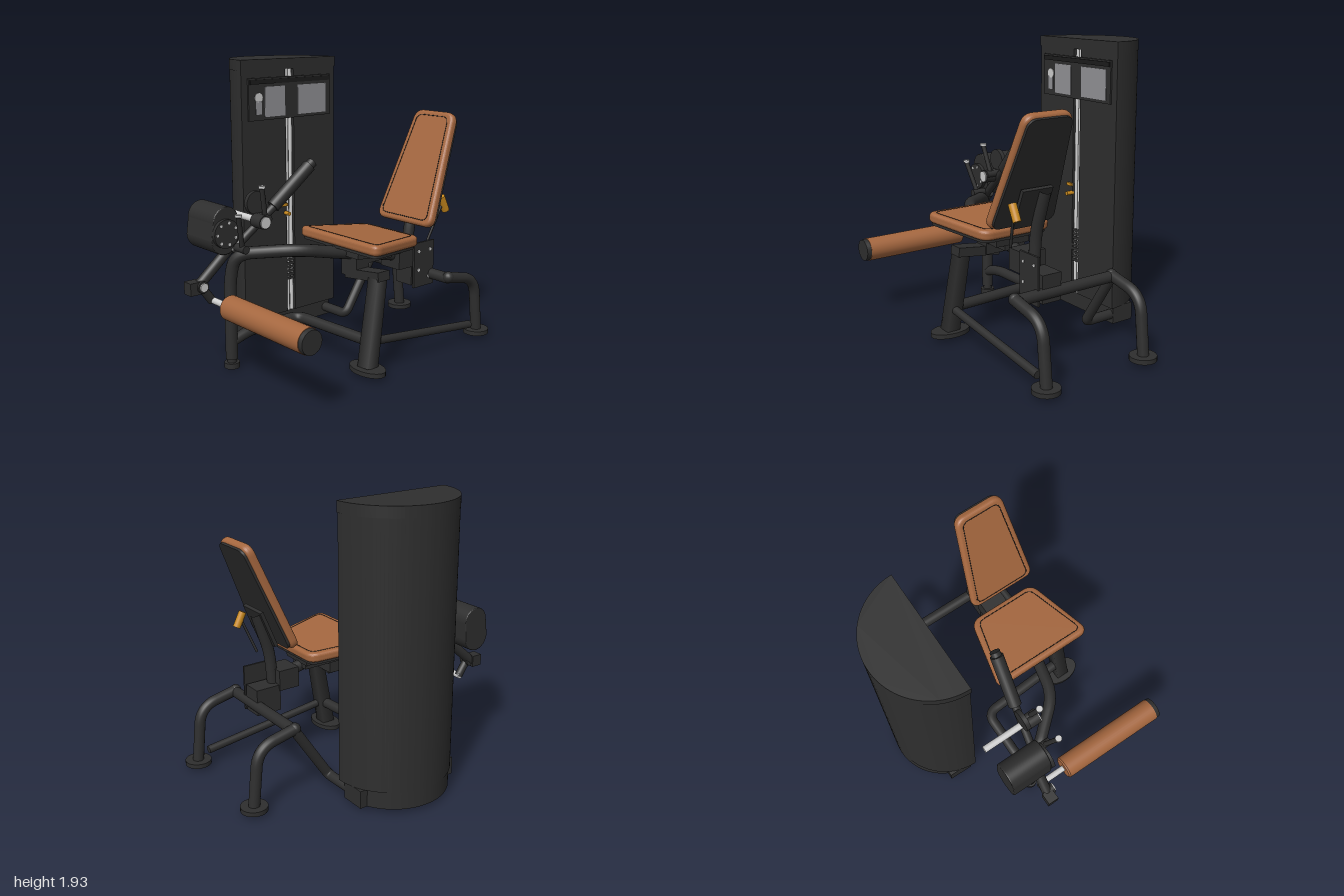
import * as THREE from 'three';

const mat = (name, color) => {
  const m = new THREE.MeshStandardMaterial({ color });
  m.name = name;
  return m;
};
const V = (p) => new THREE.Vector3(...p);

export function createModel() {
  const root = new THREE.Group();
  root.name = 'legExtensionMachine';
  const black = mat('black frame', 0x2e2e2e);
  const tan = mat('tan upholstery', 0xa5673f);
  const silver = mat('bright steel', 0xcfcfcf);
  const grey = mat('grey placard', 0x929296);
  const amber = mat('amber handle', 0xc98a1e);
  const dark = mat('dark trim', 0x1c1c1c);

  const add = (name, geo, m, parent = root) => {
    const mesh = new THREE.Mesh(geo, m);
    mesh.name = name;
    parent.add(mesh);
    return mesh;
  };
  // box from its min and max corners
  const box = (name, a, b, m = black) => {
    const mesh = add(name, new THREE.BoxGeometry(b[0] - a[0], b[1] - a[1], b[2] - a[2]), m);
    mesh.position.set((a[0] + b[0]) / 2, (a[1] + b[1]) / 2, (a[2] + b[2]) / 2);
    return mesh;
  };
  // straight capped cylinder between two points
  const rod = (name, a, b, r, m = black, r2 = r, sides = 24) => {
    const d = V(b).sub(V(a));
    const mesh = add(name, new THREE.CylinderGeometry(r2, r, d.length(), sides), m);
    mesh.position.copy(V(a)).addScaledVector(d, 0.5);
    mesh.quaternion.setFromUnitVectors(new THREE.Vector3(0, 1, 0), d.normalize());
    return mesh;
  };
  // bent pipe: straight runs joined by rounded corners
  const pipe = (name, pts, r = 0.036, bend = 0.08) => {
    const p = pts.map(V), path = new THREE.CurvePath();
    let from = p[0];
    for (let i = 1; i < p.length - 1; i++) {
      const toward = (q) => p[i].clone().add(q.clone().sub(p[i]).setLength(Math.min(bend, q.distanceTo(p[i]) * 0.48)));
      const s = toward(p[i - 1]), e = toward(p[i + 1]);
      path.add(new THREE.LineCurve3(from, s));
      path.add(new THREE.QuadraticBezierCurve3(s, p[i], e));
      from = e;
    }
    path.add(new THREE.LineCurve3(from, p[p.length - 1]));
    return add(name, new THREE.TubeGeometry(path, 70, r, 16), black);
  };
  const extrude = (shape, depth, bevel = 0) => new THREE.ExtrudeGeometry(shape, {
    depth: depth - 2 * bevel, curveSegments: 28, bevelEnabled: bevel > 0,
    bevelSize: bevel, bevelThickness: bevel, bevelOffset: -bevel, bevelSegments: 5,
  });

  // tower: half-round shell with a front slot
  const halfRound = (cx, r, notch) => {
    const s = new THREE.Shape();
    s.moveTo(cx, r);
    s.absarc(cx, 0, r, Math.PI / 2, Math.PI * 1.5, false);
    if (notch) {
      s.lineTo(cx, -0.035); s.lineTo(cx - 0.07, -0.035);
      s.lineTo(cx - 0.07, 0.035); s.lineTo(cx, 0.035);
    }
    s.closePath();
    return s;
  };
  const slab = (name, shape, y0, y1) => {
    const mesh = add(name, extrude(shape, y1 - y0), black);
    mesh.rotation.x = -Math.PI / 2;
    mesh.position.y = y0;
  };
  slab('towerShell', halfRound(-0.41, 0.4, true), 0.15, 1.86);
  slab('towerCap', halfRound(-0.405, 0.405, false), 1.86, 1.93);
  slab('towerBase', halfRound(-0.44, 0.37, false), 0.03, 0.15);
  box('towerBaseBlock', [-0.61, 0.03, -0.38], [-0.44, 0.15, 0.38]);
  for (const z of [-0.017, 0.017]) rod('guideRod', [-0.43, 0.15, z], [-0.43, 1.86, z], 0.013, silver);
  for (let i = 0; i < 9; i++) box('weightPlate', [-0.475, 0.38 + i * 0.027, -0.034], [-0.413, 0.4 + i * 0.027, 0.034]);

  // instruction panel on the flat face
  box('panel', [-0.41, 1.53, -0.35], [-0.398, 1.81, 0.35]);
  box('panelRail', [-0.4, 1.77, -0.34], [-0.39, 1.8, 0.34], dark);
  box('placard', [-0.4, 1.55, 0.05], [-0.394, 1.75, 0.22], grey);
  box('placard', [-0.4, 1.55, -0.31], [-0.394, 1.75, -0.06], grey);
  rod('placardFigureHead', [-0.4, 1.68, 0.27], [-0.394, 1.68, 0.27], 0.032, silver);
  box('placardFigureBody', [-0.4, 1.57, 0.247], [-0.394, 1.66, 0.293], grey);
  rod('selectorPin', [-0.42, 0.87, 0.045], [-0.365, 0.87, 0.045], 0.014, amber);
  box('selectorTab', [-0.41, 0.92, 0.035], [-0.395, 0.94, 0.085], amber);

  // padded cushions: rounded trapezoid with stitching
  const outline = (wb, wt, h, rad) => {
    const c = [[-wb / 2, -h / 2], [wb / 2, -h / 2], [wt / 2, h / 2], [-wt / 2, h / 2]].map((q) => new THREE.Vector2(...q));
    const s = new THREE.Shape();
    c.forEach((q, i) => {
      const prev = c[(i + 3) % 4], next = c[(i + 1) % 4];
      const a = q.clone().add(prev.clone().sub(q).setLength(rad));
      const b = q.clone().add(next.clone().sub(q).setLength(rad));
      if (i) s.lineTo(a.x, a.y); else s.moveTo(a.x, a.y);
      s.quadraticCurveTo(q.x, q.y, b.x, b.y);
    });
    s.closePath();
    return s;
  };
  const cushion = (name, wb, wt, h, t, pos, tilt) => {
    const g = new THREE.Group();
    g.name = name;
    g.position.set(...pos);
    g.rotation.x = tilt;
    add(name + 'Pad', extrude(outline(wb, wt, h, 0.07), t, 0.022), tan, g).position.z = -t / 2 + 0.022;
    add(name + 'Shell', extrude(outline(wb - 0.03, wt - 0.03, h - 0.03, 0.06), 0.02), black, g).position.z = -t / 2 - 0.016;
    const line = outline(wb - 0.085, wt - 0.075, h - 0.075, 0.04).getSpacedPoints(60);
    const curve = new THREE.CatmullRomCurve3(line.map((q) => new THREE.Vector3(q.x, q.y, t / 2)), true);
    add(name + 'Stitching', new THREE.TubeGeometry(curve, 120, 0.0025, 5, true), dark, g);
    root.add(g);
  };
  cushion('seat', 0.74, 0.5, 0.51, 0.066, [0.29, 0.815, -0.05], -Math.PI / 2 - 0.08);
  cushion('backrest', 0.49, 0.34, 0.77, 0.06, [0.335, 1.228, -0.515], -0.393);

  // seat support and backrest bracket
  box('seatMount', [0.17, 0.71, -0.25], [0.42, 0.765, 0.13]).rotation.x = -0.08;
  box('seatSlide', [0.2, 0.66, -0.24], [0.35, 0.72, 0.04]);
  box('bracketBlock', [0.19, 0.56, -0.45], [0.36, 0.7, -0.3]);
  box('bracketPlate', [0.36, 0.41, -0.62], [0.375, 0.72, -0.43]);
  for (const [y, z] of [[0.66, -0.47], [0.66, -0.58], [0.53, -0.47], [0.47, -0.57]]) {
    rod('bracketBolt', [0.37, y, z], [0.38, y, z], 0.011, silver);
  }
  box('bracketNeck', [0.2, 0.42, -0.62], [0.34, 0.6, -0.44]);
  pipe('backrestSupport', [[0.28, 0.58, -0.45], [0.28, 0.82, -0.47], [0.28, 1.1, -0.56]], 0.038);
  const backPlate = box('backrestPlate', [0.22, 0.86, -0.5], [0.44, 1.13, -0.475]);
  backPlate.rotation.x = -0.393;
  backPlate.position.z = -0.5;
  rod('adjusterLever', [0.46, 0.76, -0.46], [0.5, 1.0, -0.55], 0.009);
  rod('adjusterGrip', [0.5, 0.95, -0.585], [0.5, 1.05, -0.535], 0.026, amber);

  // main frame
  pipe('mainTube', [[-0.14, 0.06, 0.71], [-0.14, 0.6, 0.71], [-0.1, 0.76, 0.69], [0.2, 0.8, 0.43], [0.28, 0.74, 0.12], [0.28, 0.64, -0.36]], 0.04, 0.11);
  pipe('lowerTube', [[-0.14, 0.17, 0.71], [-0.14, 0.215, 0.56], [-0.14, 0.215, 0.16], [0.52, 0.215, 0.12]]);
  rod('frontFoot', [-0.14, 0, 0.71], [-0.14, 0.036, 0.71], 0.05);
  rod('frontFootStem', [-0.14, 0.03, 0.71], [-0.14, 0.07, 0.71], 0.03);
  const post = rod('seatPost', [0.53, 0.05, 0.145], [0.5, 0.62, 0.035], 0.066, black, 0.06, 4);
  post.rotateY(Math.PI / 4);
  const arm = box('seatPostArm', [0.24, 0.58, -0.02], [0.55, 0.64, 0.08]);
  arm.rotation.z = 0.12;
  box('seatPostRiser', [0.21, 0.58, -0.03], [0.35, 0.72, 0.08]);
  const foot = rod('seatPostFoot', [0.53, 0.025, 0.145], [0.53, 0.055, 0.145], 0.14);
  foot.scale.z = 0.62;
  rod('longBrace', [0.53, 0.215, 0.11], [0.53, 0.1, -0.83], 0.027);

  // rear legs
  for (const x of [-0.22, 0.53]) {
    pipe('rearLeg', [[x, 0.05, -0.91], [x, 0.43, -0.87], [x, 0.49, -0.59]], 0.037, 0.12);
    rod('rearFoot', [x, 0.025, -0.91], [x, 0.055, -0.91], 0.088);
    add('rearElbow', new THREE.SphereGeometry(0.038, 16, 12), black).position.set(x, 0.49, -0.6);
  }
  rod('rearCrossbar', [-0.22, 0.48, -0.605], [0.53, 0.48, -0.605], 0.037);
  pipe('towerBrace', [[-0.22, 0.48, -0.605], [-0.22, 0.09, -0.35], [-0.5, 0.09, -0.345]], 0.034, 0.05);

  // cam housing beside the tower
  const cam = new THREE.Shape();
  cam.absarc(-0.755, 0.86, 0.1, Math.PI, Math.PI * 2, false);
  cam.absarc(-0.745, 0.97, 0.095, 0, Math.PI, false);
  cam.closePath();
  const housing = add('camHousing', extrude(cam, 0.29, 0.008), black);
  housing.rotation.y = Math.PI / 2;
  housing.position.x = -0.395;
  rod('camDisc', [-0.11, 0.9, 0.76], [-0.085, 0.9, 0.76], 0.092);
  for (let i = 0; i < 7; i++) {
    const a = i / 7 * Math.PI * 2, y = 0.9 + 0.07 * Math.sin(a), z = 0.76 + 0.07 * Math.cos(a);
    rod('camHole', [-0.09, y, z], [-0.082, y, z], 0.009, silver);
  }
  rod('pivotShaft', [-0.41, 0.95, 0.52], [-0.02, 0.95, 0.52], 0.023, silver);
  rod('pivotCollar', [-0.1, 0.95, 0.53], [0, 0.95, 0.53], 0.045);
  rod('pivotCap', [0, 0.95, 0.53], [0.008, 0.95, 0.53], 0.038, silver);
  rod('rangeDisc', [-0.13, 1.06, 0.52], [-0.1, 1.06, 0.52], 0.075);

  // hand lever and adjusters
  rod('handleArm', [-0.13, 0.77, 0.7], [-0.085, 1.04, 0.37], 0.027);
  rod('handleGrip', [-0.09, 1.02, 0.4], [-0.05, 1.26, 0.13], 0.044);
  rod('handleTip', [-0.05, 1.26, 0.13], [-0.048, 1.28, 0.105], 0.034);
  for (const [a, b] of [
    [[-0.04, 0.97, 0.5], [-0.01, 1.17, 0.545]],
    [[-0.04, 0.8, 0.68], [0.01, 1.02, 0.74]],
  ]) {
    rod('adjusterArm', a, b, 0.016);
    rod('adjusterTip', b, [b[0], b[1] + 0.015, b[2]], 0.022, silver);
    rod('adjusterHub', [-0.1, a[1], a[2]], [0, a[1], a[2]], 0.025);
  }

  // moving leg arm with padded roller
  rod('legArm', [-0.16, 0.78, 0.7], [-0.175, 0.57, 0.935], 0.034);
  box('legArmBlock', [-0.215, 0.535, 0.92], [-0.14, 0.615, 1]);
  rod('legArmCollar', [-0.2, 0.58, 0.915], [-0.125, 0.58, 0.915], 0.038);
  rod('legArmBolt', [-0.125, 0.58, 0.915], [-0.115, 0.58, 0.915], 0.028, silver);
  rod('rollerLink', [-0.16, 0.58, 0.915], [-0.16, 0.47, 0.835], 0.028);
  rod('rollerShaft', [-0.18, 0.475, 0.835], [0.04, 0.475, 0.835], 0.021, silver);
  rod('rollerPad', [0.04, 0.475, 0.835], [0.78, 0.475, 0.835], 0.079, tan, 0.079, 32);
  rod('rollerPadEdge', [0.03, 0.475, 0.835], [0.04, 0.475, 0.835], 0.07, tan, 0.079, 32);
  rod('rollerEndCap', [0.78, 0.475, 0.835], [0.81, 0.475, 0.835], 0.076, black, 0.073, 32);

  return root;
}
